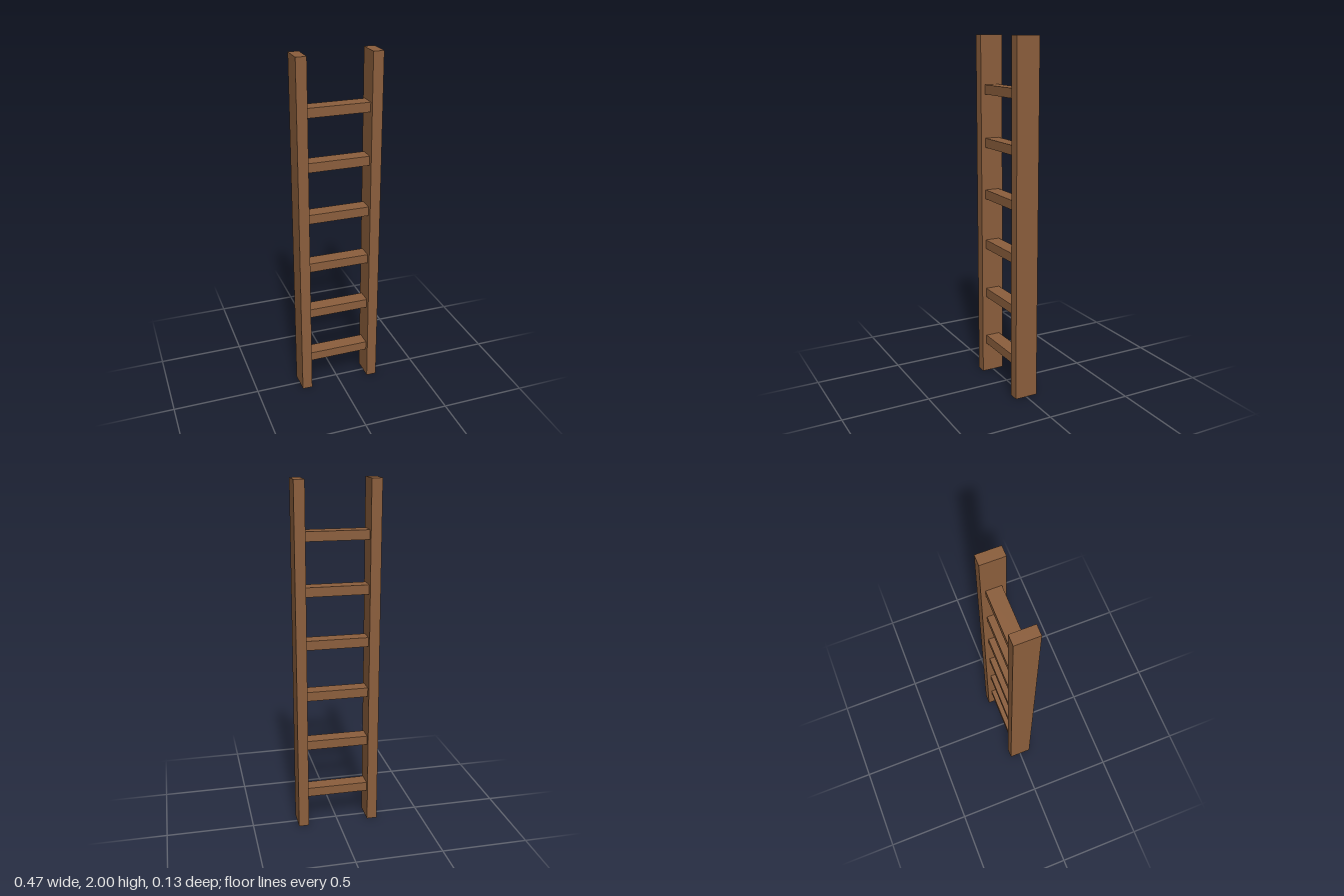
import * as THREE from 'three';

export function createModel() {
  const ladder = new THREE.Group();
  ladder.name = 'ladder';
  const wood = new THREE.MeshStandardMaterial({ color: 0x8b5e3c });
  wood.name = 'brown wood';

  const railX = 0.207, railWidth = 0.059, railDepth = 0.133, height = 2;
  const rungHeight = 0.053, rungDepth = 0.084, rungCount = 6;

  function addBox(name, size, x, y) {
    const mesh = new THREE.Mesh(new THREE.BoxGeometry(...size), wood);
    mesh.name = name;
    mesh.position.set(x, y, 0);
    ladder.add(mesh);
  }

  // Upright side rails
  addBox('leftRail', [railWidth, height, railDepth], railX, height / 2);
  addBox('rightRail', [railWidth, height, railDepth], -railX, height / 2);

  // Evenly spaced rungs between the rails
  const rungLength = 2 * railX - railWidth;
  for (let i = 0; i < rungCount; i++) {
    addBox(`rung${i + 1}`, [rungLength, rungHeight, rungDepth], 0, 0.203 + i * 0.3);
  }
  return ladder;
}
